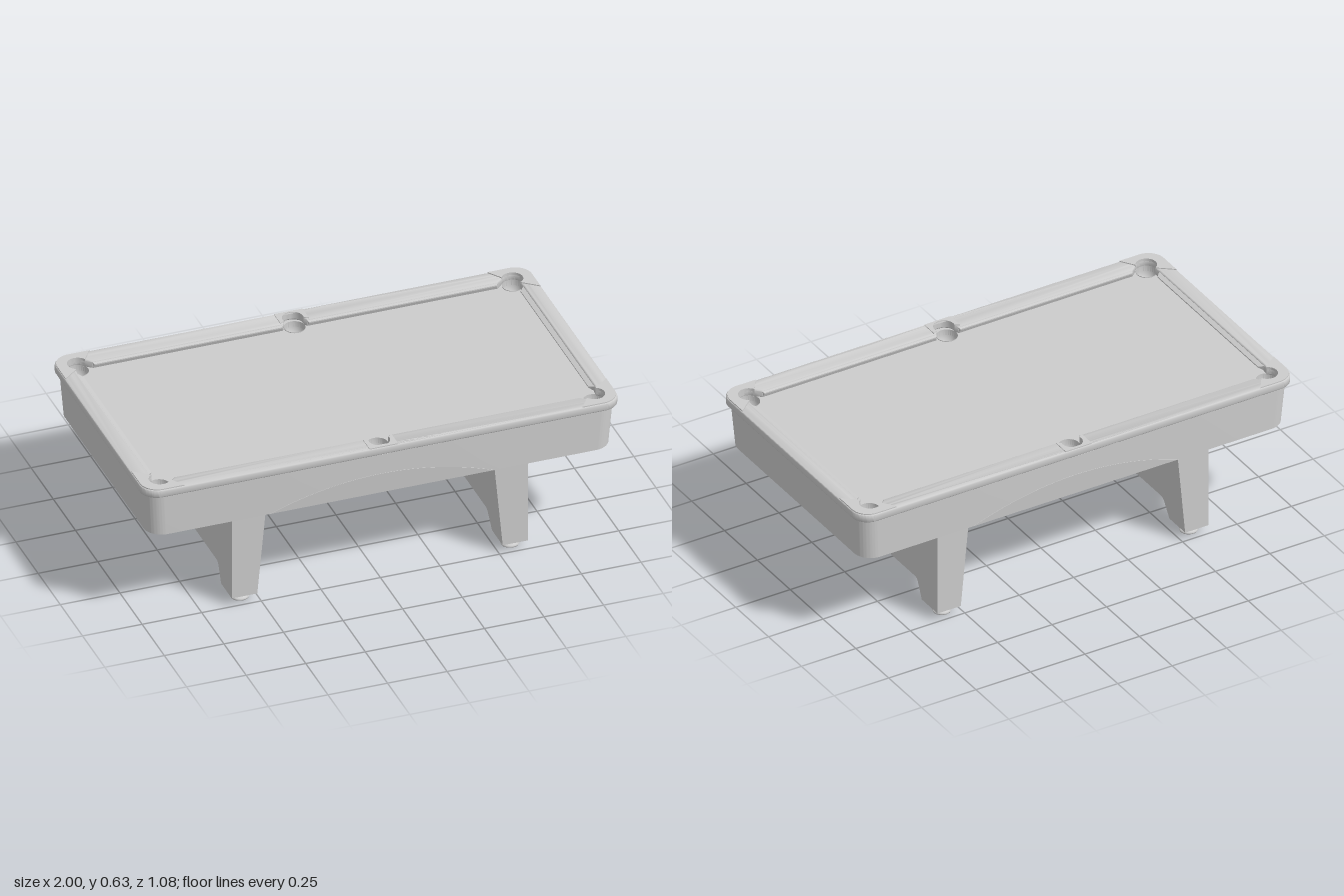
import * as THREE from 'three';
import { toCreasedNormals } from 'three/addons/utils/BufferGeometryUtils.js';

const grey = new THREE.MeshStandardMaterial({ color: 0xcccccc, side: THREE.DoubleSide });
const SIGNS = [[1, 1], [1, -1], [-1, 1], [-1, -1]];
const CORNER = { x: 0.912, z: 0.46, r: 0.043 };
const SIDE = { x: 0, z: 0.487, r: 0.043 };

function mesh(name, geometry, parent, x = 0, y = 0, z = 0) {
  const m = new THREE.Mesh(geometry, grey);
  m.name = name;
  m.position.set(x, y, z);
  parent.add(m);
  return m;
}

function roundedRect(hx, hz, r, Type = THREE.Shape) {
  const s = new Type();
  s.absarc(hx - r, hz - r, r, 0, Math.PI / 2);
  s.absarc(-hx + r, hz - r, r, Math.PI / 2, Math.PI);
  s.absarc(-hx + r, -hz + r, r, Math.PI, Math.PI * 1.5);
  s.absarc(hx - r, -hz + r, r, Math.PI * 1.5, Math.PI * 2);
  s.closePath();
  return s;
}

// Plan shape extruded upward from y0 to y1, edges optionally rounded inward
function slab(shape, y0, y1, bevel = 0) {
  const g = new THREE.ExtrudeGeometry(shape, {
    depth: y1 - y0 - 2 * bevel, curveSegments: 16, bevelEnabled: bevel > 0,
    bevelSize: bevel, bevelOffset: -bevel, bevelThickness: bevel, bevelSegments: 4,
  });
  g.rotateX(-Math.PI / 2).translate(0, y0 + bevel, 0);
  return toCreasedNormals(g, 0.6);
}

// Points on an arc, angles in degrees
function arc(c, from, to, n = 18) {
  return Array.from({ length: n + 1 }, (_, i) => {
    const a = THREE.MathUtils.degToRad(from + (to - from) * i / n);
    return new THREE.Vector2(c.x + c.r * Math.cos(a), c.z + c.r * Math.sin(a));
  });
}

// Opening inside the rails, with pocket mouths: one quadrant, mirrored
function railOpening() {
  const quad = [
    ...arc(SIDE, 90, -15), new THREE.Vector2(0.05, 0.46),
    new THREE.Vector2(0.85, 0.46), ...arc(CORNER, 152, -62), new THREE.Vector2(0.935, 0.4),
  ];
  const flip = (pts, sx, sz) => pts.map(p => new THREE.Vector2(p.x * sx, p.y * sz));
  const back = [...quad].reverse();
  return new THREE.Path([
    ...quad, ...flip(back, 1, -1).slice(0, -1),
    ...flip(quad, -1, -1), ...flip(back, -1, 1).slice(0, -1),
  ]);
}

// Sloped cushion nose along +x, facing +z, with ends cut back at an angle
function cushion(length, depth) {
  const profile = new THREE.Shape([[-0.01, 0.622], [0, 0.622], [depth, 0.616], [depth, 0.611], [0, 0.594], [-0.01, 0.594]]
    .map(p => new THREE.Vector2(...p)));
  const g = new THREE.ExtrudeGeometry(profile, { depth: length, bevelEnabled: false });
  g.translate(0, 0, -length / 2).rotateY(-Math.PI / 2);
  const p = g.attributes.position;
  for (let i = 0; i < p.count; i++) p.setX(i, p.getX(i) - Math.sign(p.getX(i)) * Math.max(0, p.getZ(i)));
  g.computeVertexNormals();
  return g;
}

// Pedestal leg: notched side outline, inner face tapering inward with height
function legGeometry() {
  const s = new THREE.Shape();
  s.moveTo(-0.495, 0.53);
  s.lineTo(-0.495, 0.035);
  s.lineTo(-0.375, 0.035);
  s.lineTo(-0.346, 0.1);
  s.quadraticCurveTo(-0.34, 0.117, -0.322, 0.117);
  s.lineTo(0.322, 0.117);
  s.quadraticCurveTo(0.34, 0.117, 0.346, 0.1);
  s.lineTo(0.375, 0.035);
  s.lineTo(0.495, 0.035);
  s.lineTo(0.495, 0.53);
  s.closePath();
  const g = new THREE.ExtrudeGeometry(s, { depth: 1, bevelEnabled: false });
  g.rotateY(Math.PI / 2);
  const p = g.attributes.position;
  for (let i = 0; i < p.count; i++) {
    const inner = 0.515 - (p.getY(i) - 0.035) * 0.095;
    p.setX(i, p.getX(i) > 0.5 ? 0.622 : inner);
  }
  g.computeVertexNormals();
  return toCreasedNormals(g, 0.5);
}

export function createModel() {
  const table = new THREE.Group();
  table.name = 'poolTable';

  // Rail frame around the playing area
  const rail = roundedRect(1, 0.541, 0.07);
  rail.holes.push(railOpening());
  mesh('railFrame', slab(rail, 0.592, 0.627, 0.007), table);

  // Raised corner and side pocket trims
  for (const [sx, sz] of SIGNS) {
    const outline = [
      ...arc({ x: 0.926, z: 0.467, r: 0.07 }, 0, 90, 12), new THREE.Vector2(0.835, 0.537),
      ...arc(CORNER, 152, -62), new THREE.Vector2(0.996, 0.37),
    ].map(p => new THREE.Vector2(p.x * sx, p.y * sz));
    mesh('cornerTrim', slab(new THREE.Shape(outline), 0.6, 0.631), table);
  }
  for (const sz of [1, -1]) {
    const outline = [
      new THREE.Vector2(0.06, 0.465), new THREE.Vector2(0.06, 0.538),
      new THREE.Vector2(-0.06, 0.538), new THREE.Vector2(-0.06, 0.465), ...arc(SIDE, 195, -15),
    ].map(p => new THREE.Vector2(p.x, p.y * sz));
    mesh('sideTrim', slab(new THREE.Shape(outline), 0.6, 0.63), table);
  }

  // Cushions
  for (const s of [1, -1]) {
    const end = mesh('endCushion', cushion(0.8, 0.018), table, s * 0.935, 0, 0);
    end.rotation.y = -s * Math.PI / 2;
    for (const sx of [1, -1]) {
      const side = mesh('sideCushion', cushion(0.8, 0.006), table, sx * 0.45, 0, s * 0.46);
      side.rotation.y = s > 0 ? Math.PI : 0;
    }
  }

  // Bed with pocket holes, and a cup below each hole
  const bed = roundedRect(0.962, 0.51, 0.04);
  const cup = new THREE.LatheGeometry([[0, 0.535], [0.02, 0.538], [0.036, 0.552], [0.043, 0.575], [0.043, 0.6]]
    .map(p => new THREE.Vector2(...p)), 28);
  const pockets = SIGNS.map(([sx, sz]) => [sx * CORNER.x, sz * (CORNER.z - 0.003)]);
  pockets.push([0, 0.465], [0, -0.465]);
  for (const [x, z] of pockets) {
    const hole = new THREE.Path();
    hole.absarc(x, -z, 0.043, 0, Math.PI * 2, true);
    bed.holes.push(hole);
    mesh('pocketCup', cup, table, x, 0, z);
  }
  mesh('bed', slab(bed, 0.53, 0.597), table);

  // Hollow apron, narrowing downward
  const apron = roundedRect(0.986, 0.53, 0.075);
  apron.holes.push(roundedRect(0.968, 0.512, 0.057, THREE.Path));
  const wall = slab(apron, 0.405, 0.595);
  const p = wall.attributes.position;
  for (let i = 0; i < p.count; i++) {
    const inset = (0.595 - p.getY(i)) / 0.19 * 0.013;
    p.setX(i, p.getX(i) - Math.sign(p.getX(i)) * inset);
    p.setZ(i, p.getZ(i) - Math.sign(p.getZ(i)) * inset);
  }
  mesh('apron', wall, table);

  // Shallow arched panels on the long sides
  const arch = new THREE.Shape();
  arch.moveTo(-0.47, 0);
  arch.quadraticCurveTo(0, 0.18, 0.47, 0);
  arch.closePath();
  const archGeometry = new THREE.ExtrudeGeometry(arch, { depth: 0.004, bevelEnabled: false, curveSegments: 32 });
  for (const s of [1, -1]) {
    const side = new THREE.Group();
    side.name = 'archSide';
    side.rotation.y = s > 0 ? 0 : Math.PI;
    table.add(side);
    mesh('archPanel', archGeometry, side, 0, 0.406, 0.5145).rotation.x = 0.068;
    // Support beam under the bed
    mesh('supportBeam', new THREE.BoxGeometry(1.84, 0.03, 0.05), side, 0, 0.522, 0.465);
  }

  // Pedestal legs with levelling feet
  const leg = legGeometry();
  const foot = new THREE.LatheGeometry([[0, 0], [0.036, 0], [0.038, 0.005], [0.034, 0.009], [0.022, 0.013], [0.018, 0.02], [0.018, 0.028], [0.028, 0.036]]
    .map(q => new THREE.Vector2(...q)), 28);
  for (const s of [1, -1]) {
    mesh('leg', leg, table).rotation.y = s > 0 ? 0 : Math.PI;
    for (const z of [0.435, -0.435]) mesh('foot', foot, table, s * 0.567, 0, z);
  }
  return table;
}
